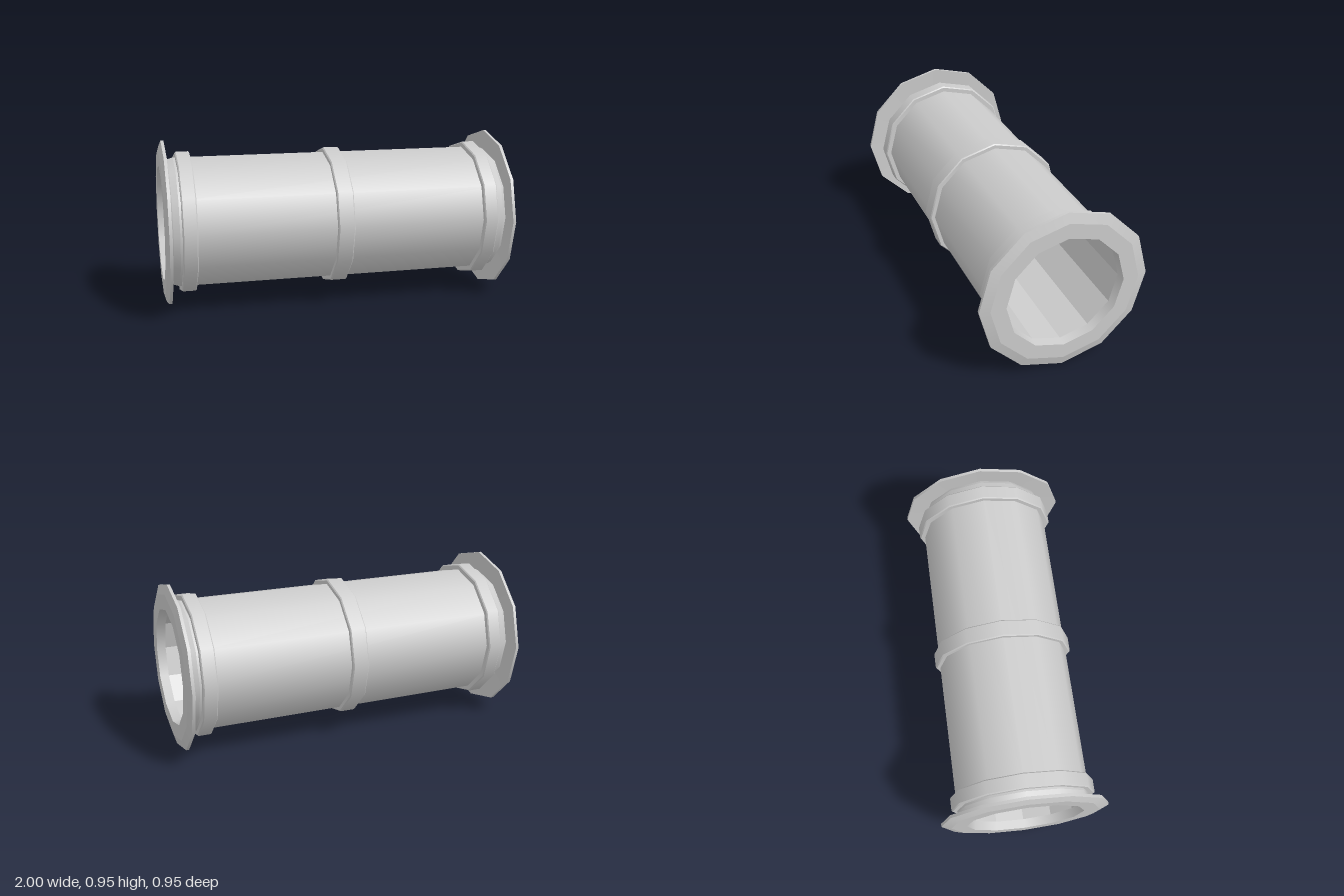
import * as THREE from 'three';
import { mergeGeometries } from 'three/addons/utils/BufferGeometryUtils.js';

const SIDES = 12;
const AXIS_Y = 0.477;

// Turns a profile of [x, radius] points around the x axis, with sharp edges between its segments.
// Running towards +x faces outwards; running towards -x faces inwards.
function turned(name, profile, flat = false) {
  const strips = [];
  for (let i = 0; i < profile.length - 1; i++) {
    const pair = [profile[i], profile[i + 1]].map(([x, r]) => new THREE.Vector2(r, x));
    strips.push(new THREE.LatheGeometry(pair, SIDES));
  }
  const geometry = mergeGeometries(strips);
  geometry.rotateZ(-Math.PI / 2);
  const material = new THREE.MeshStandardMaterial({ color: 0xcccccc, flatShading: flat });
  const mesh = new THREE.Mesh(geometry, material);
  mesh.name = name;
  return mesh;
}

// Mirrors a profile to the other end while keeping its faces outwards.
const mirrored = (profile) => profile.map(([x, r]) => [-x, r]).reverse();

// Raised band with small bevels, centred on x.
function band(x, half, radius) {
  const b = 0.006;
  return [
    [x - half, 0.37], [x - half, radius - b], [x - half + b, radius],
    [x + half - b, radius], [x + half, radius - b], [x + half, 0.37],
  ];
}

export function createModel() {
  const model = new THREE.Group();
  model.name = 'pipeSection';
  const pipe = new THREE.Group();
  pipe.name = 'pipe';
  pipe.position.y = AXIS_Y;
  model.add(pipe);

  // Outer wall with tapered shoulders, and the bore
  pipe.add(turned('outerWall', [
    [-0.975, 0.355], [-0.955, 0.366], [-0.92, 0.377],
    [0.92, 0.377], [0.955, 0.366], [0.975, 0.355],
  ]));
  pipe.add(turned('bore', [[0.95, 0.325], [-0.95, 0.325]], true));

  // Middle and end bands
  pipe.add(turned('middleBand', band(0, 0.048, 0.404)));
  const endBand = band(0.867, 0.041, 0.409);
  pipe.add(turned('leftBand', endBand));
  pipe.add(turned('rightBand', mirrored(endBand)));

  // End flanges with a slightly dished face and chamfered mouth
  const flange = [
    [0.972, 0.35], [0.967, 0.475], [0.984, 0.475], [1, 0.42], [1, 0.333], [0.95, 0.325],
  ];
  pipe.add(turned('leftFlange', flange));
  pipe.add(turned('rightFlange', mirrored(flange)));

  return model;
}
